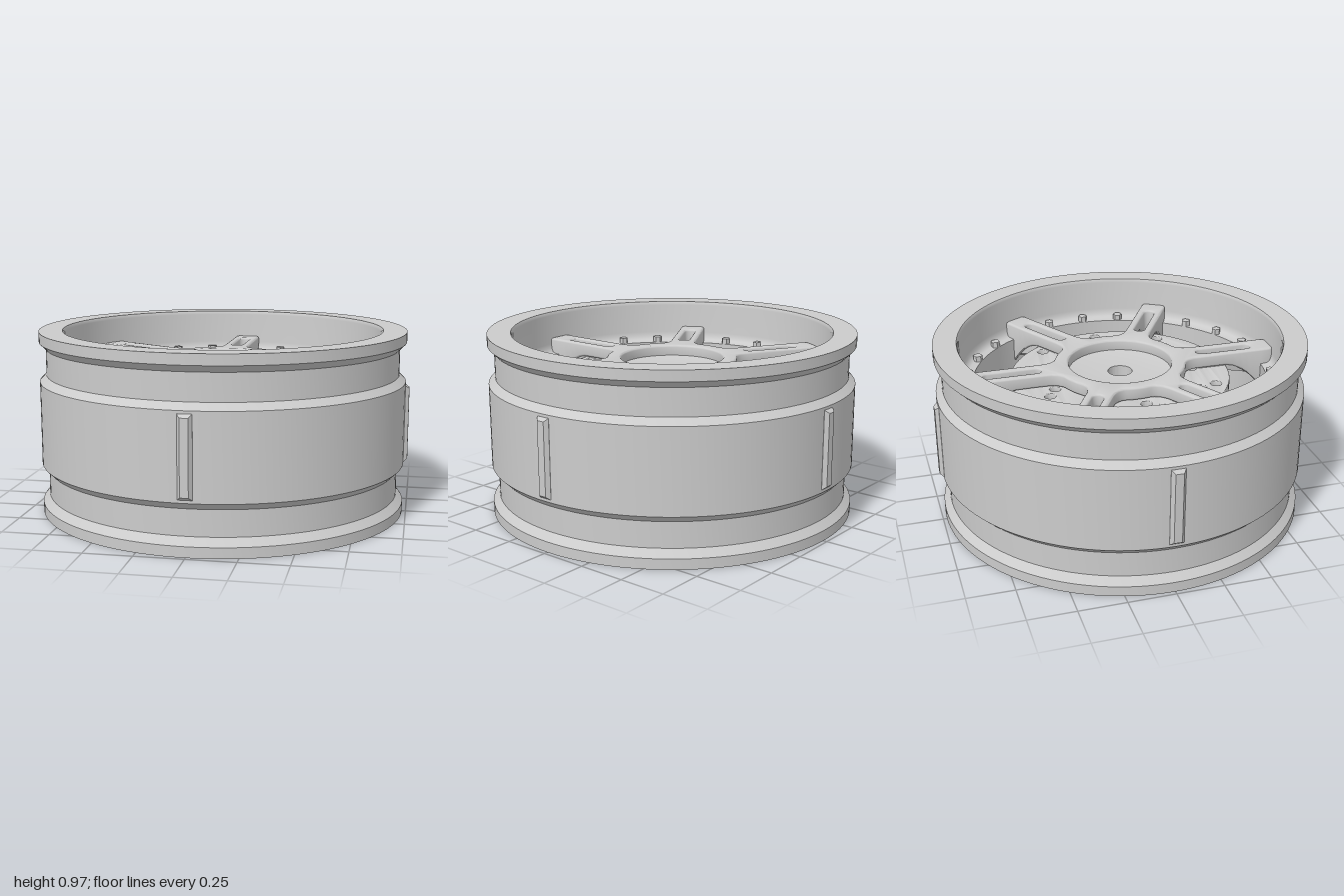
import * as THREE from 'three';
import { toCreasedNormals } from 'three/addons/utils/BufferGeometryUtils.js';

const material = new THREE.MeshStandardMaterial({ color: 0xcccccc });
const V = (x, y) => new THREE.Vector2(x, y);
const polar = (r, degrees) => V(r * Math.cos(degrees * Math.PI / 180), r * Math.sin(degrees * Math.PI / 180));

function addMesh(parent, name, geometry, crease = 0.6) {
  const mesh = new THREE.Mesh(toCreasedNormals(geometry, crease), material);
  mesh.name = name;
  parent.add(mesh);
  return mesh;
}

const lathe = (pairs, segments) =>
  new THREE.LatheGeometry(pairs.map(([r, y]) => V(r, y)), segments);

function circleHole(x, y, r) {
  return new THREE.Path().absarc(x, y, r, 0, Math.PI * 2, true);
}

// Extrudes a plan-view shape upwards between two heights, rounding its edges
function slab(shape, y0, y1, bevel) {
  const geometry = new THREE.ExtrudeGeometry(shape, {
    depth: y1 - y0 - 2 * bevel, curveSegments: 32, bevelEnabled: true,
    bevelSize: bevel, bevelThickness: bevel, bevelOffset: -bevel, bevelSegments: 3,
  });
  return geometry.rotateX(-Math.PI / 2).translate(0, y0 + bevel, 0);
}

// Plan of the hub with six slotted spokes
function spokeStar() {
  const outline = [], slots = [];
  const stations = [0.5, 0.58, 0.62, 0.66, 0.7];

  // right half of one spoke, from the hub out to the tip
  const fillet = new THREE.QuadraticBezierCurve(polar(0.35, -21), V(0.345, -0.07), V(0.43, -0.07));
  const half = [polar(0.35, -30), polar(0.35, -25.5), ...fillet.getPoints(8),
    ...[...stations, 0.74, 0.785, 0.83].map(u => V(u, -0.07)), V(0.846, -0.064), V(0.853, -0.05)];
  const mirrored = half.slice(1).reverse().map(p => V(p.x, -p.y));

  // slot with round ends
  const s = 0.03, slot = [];
  for (let i = 0; i <= 8; i++) {
    const p = polar(s, -90 + i * 22.5);
    slot.push(V(0.71 + p.x, p.y));
  }
  slot.push(...[...stations].slice(0, 4).reverse().map(u => V(u, s)));
  for (let i = 0; i <= 8; i++) {
    const p = polar(s, 90 + i * 22.5);
    slot.push(V(0.46 + p.x, p.y));
  }
  slot.push(...stations.slice(0, 4).map(u => V(u, -s)));

  for (let k = 0; k < 6; k++) {
    const angle = Math.PI / 2 + k * Math.PI / 3;
    const turn = p => p.clone().rotateAround(V(0, 0), angle);
    outline.push(...half.map(turn), ...mirrored.map(turn));
    slots.push(new THREE.Path(slot.map(turn).reverse()));
  }
  const shape = new THREE.Shape(outline);
  shape.holes.push(circleHole(0, 0, 0.275), ...slots);
  return shape;
}

export function createModel() {
  const model = new THREE.Group();
  model.name = 'wheelRim';

  // Barrel with outer flanges, inner bolt ledge and chamfered back edge
  addMesh(model, 'barrel', lathe([
    [0.82, 0], [0.98, 0], [0.98, 0.055], [0.945, 0.095], [0.945, 0.23], [0.98, 0.265],
    [0.98, 0.705], [0.945, 0.74], [0.945, 0.88], [0.98, 0.915], [0.98, 0.97],
    [0.856, 0.97], [0.852, 0.963], [0.85, 0.95], [0.85, 0.785], [0.846, 0.762], [0.835, 0.743],
    [0.82, 0.735], [0.785, 0.733], [0.785, 0.04], [0.82, 0],
  ], 128));

  // Spokes: the underside curves down to the barrel wall at the outer ends
  const spokes = slab(spokeStar(), 0.75, 0.82, 0.012);
  const pos = spokes.attributes.position;
  for (let i = 0; i < pos.count; i++) {
    if (pos.getY(i) > 0.785) continue;
    const t = THREE.MathUtils.clamp((Math.hypot(pos.getX(i), pos.getZ(i)) - 0.57) / 0.215, 0, 1);
    pos.setY(i, pos.getY(i) - 0.15 * t * t);
  }
  addMesh(model, 'spokes', spokes);

  // Dished hub centre with axle hole and rear boss
  addMesh(model, 'hub', lathe([
    [0.27, 0.6], [0.27, 0.7], [0.283, 0.755], [0.283, 0.765], [0.265, 0.76],
    [0.065, 0.76], [0.065, 0.6], [0.27, 0.6],
  ], 64));

  // Drilled brake disc: nine slanted rows of three holes
  const discShape = new THREE.Shape().absarc(0, 0, 0.585, 0, Math.PI * 2);
  discShape.holes.push(circleHole(0, 0, 0.2));
  for (let k = 0; k < 9; k++) {
    [0.52, 0.455, 0.39].forEach((r, j) => {
      const p = polar(r, 40 * k - 8 * j);
      discShape.holes.push(circleHole(p.x, p.y, 0.029));
    });
  }
  addMesh(model, 'brakeDisc', slab(discShape, 0.69, 0.745, 0.004));

  // Hexagonal bolts on the ledge, three between each pair of spokes
  const bolts = new THREE.Group();
  bolts.name = 'bolts';
  model.add(bolts);
  for (let k = 0; k < 24; k++) {
    if (k % 4 === 2) continue;
    const p = polar(0.807, 15 * k);
    const bolt = addMesh(bolts, 'bolt', new THREE.CylinderGeometry(0.025, 0.025, 0.065, 6), 0.3);
    bolt.position.set(p.x, 0.7325, -p.y);
    bolt.rotation.y = 15 * k * Math.PI / 180;
  }

  // Four chamfered ribs around the outside
  const rib = new THREE.Shape([V(-0.037, 0.28), V(0.037, 0.28), V(0.037, 0.69), V(-0.037, 0.69)]);
  for (let k = 0; k < 4; k++) {
    const geometry = new THREE.ExtrudeGeometry(rib, {
      depth: 0.03, bevelSize: 0.016, bevelThickness: 0.02, bevelOffset: -0.016, bevelSegments: 1,
    }).translate(0, 0, 0.95);
    addMesh(model, 'outerRib', geometry, 0.3).rotation.y = k * Math.PI / 2;
  }
  return model;
}
